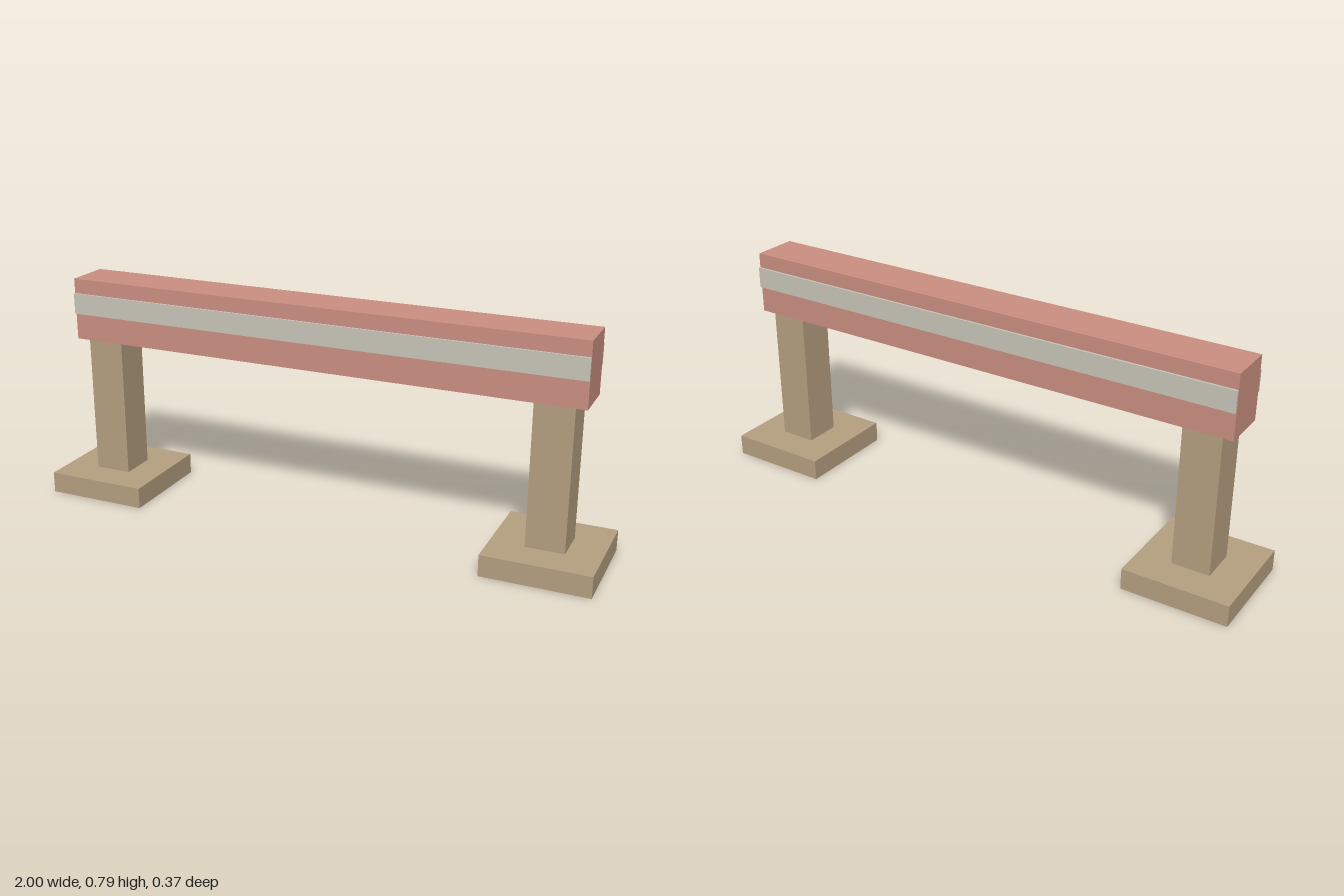
import * as THREE from 'three';

const material = (name, color) => {
  const m = new THREE.MeshStandardMaterial({ color });
  m.name = name;
  return m;
};

// Box given by its size, centre x, bottom y and centre z
function box(name, mat, [w, h, d], x, bottom, z = 0) {
  const mesh = new THREE.Mesh(new THREE.BoxGeometry(w, h, d), mat);
  mesh.name = name;
  mesh.position.set(x, bottom + h / 2, z);
  return mesh;
}

export function createModel() {
  const tan = material('tan', 0xb59f80);
  const red = material('dusty red', 0xca8f80);
  const grey = material('pale grey', 0xc8c4b9);

  const model = new THREE.Group();
  model.name = 'barrier';

  // Square foot and post at each end
  for (const [side, s] of [['left', 1], ['right', -1]]) {
    const support = new THREE.Group();
    support.name = side + 'Support';
    support.add(
      box('foot', tan, [0.367, 0.075, 0.367], s * 0.8165, 0),
      box('post', tan, [0.132, 0.498, 0.132], s * 0.8165, 0.075)
    );
    model.add(support);
  }

  // Crossbeam
  model.add(box('beam', red, [1.844, 0.22, 0.162], 0, 0.573));

  // Raised stripe along the front and back of the beam
  for (const [side, s] of [['front', 1], ['back', -1]]) {
    model.add(box(side + 'Stripe', grey, [1.844, 0.074, 0.008], 0, 0.667, s * 0.085));
  }
  return model;
}
